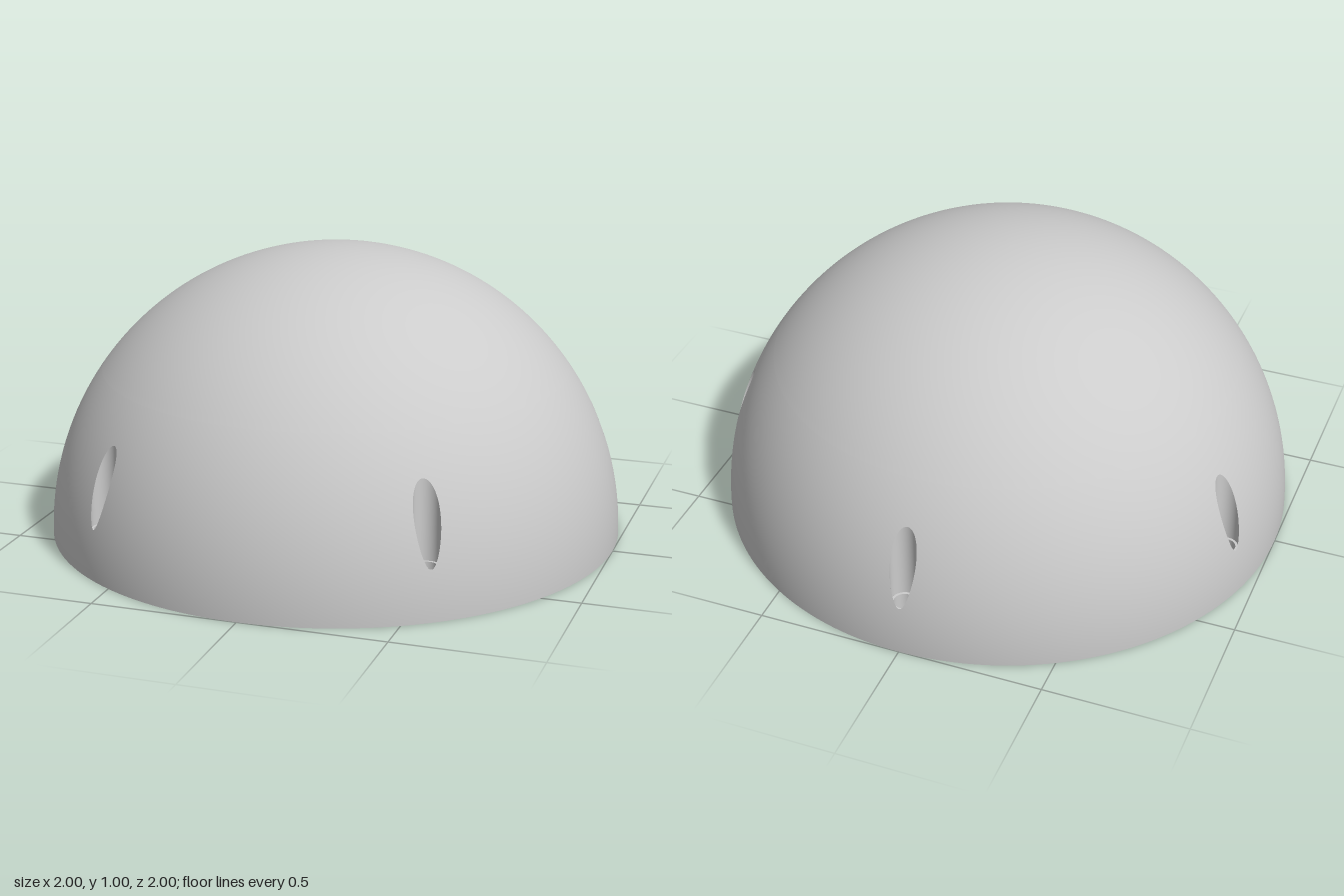
import * as THREE from 'three';
import { ParametricGeometry } from 'three/addons/geometries/ParametricGeometry.js';

const TAU = Math.PI * 2;
const HOLES = 5, SECTOR = TAU / HOLES;
const INNER_R = 0.88;                 // cavity radius (outer radius is 1)
const LIP_R = 0.94, STEP_Y = 0.062;   // rebate in the underside
const BOLT_R = 0.036, BORE_R = 0.045; // bolt hole and its counterbore
const FLOOR_Y = 0.17;                 // counterbore floor
const BAND_LAT = 0.62;                // latitude where the pierced band ends
const SEGS = 200;

const polar = (r, a) => new THREE.Vector2(r * Math.sin(a), r * Math.cos(a));

// Point of a hole's circle, in the frame where the hole lies towards +z
const holePoint = (r, a) => new THREE.Vector2(r * Math.sin(a), LIP_R + r * Math.cos(a));

// Arc of a sphere profile between two latitudes
function arc(r, from, to, n) {
  return Array.from({ length: n + 1 }, (_, i) => {
    const lat = from + (to - from) * i / n;
    return new THREE.Vector2(Math.max(0, r * Math.cos(lat)), r * Math.sin(lat));
  });
}

// One fifth of the lower dome: rows run from the sector's edge to the hole's rim
function bandPatch() {
  const nx = 40, ny = 16, total = 2 * (nx + ny);
  const geo = new ParametricGeometry((u, v, out) => {
    const s = u * total;
    let px, py;
    if (s <= nx) [px, py] = [2 * s / nx - 1, -1];
    else if (s <= nx + ny) [px, py] = [1, 2 * (s - nx) / ny - 1];
    else if (s <= 2 * nx + ny) [px, py] = [1 - 2 * (s - nx - ny) / nx, 1];
    else [px, py] = [-1, 1 - 2 * (s - 2 * nx - ny) / ny];
    const rim = holePoint(BORE_R, Math.atan2(px, -py));
    const theta = THREE.MathUtils.lerp(px * SECTOR / 2, Math.atan2(rim.x, rim.y), v);
    const lat = THREE.MathUtils.lerp((py + 1) / 2 * BAND_LAT, Math.acos(rim.length()), v);
    out.set(Math.cos(lat) * Math.sin(theta), Math.sin(lat), Math.cos(lat) * Math.cos(theta));
  }, total, 16);
  // exact sphere normals
  const p = geo.attributes.position, n = geo.attributes.normal, q = new THREE.Vector3();
  for (let i = 0; i < p.count; i++) {
    q.fromBufferAttribute(p, i).normalize();
    n.setXYZ(i, q.x, q.y, q.z);
  }
  return geo;
}

// Upright wall over an arc, facing the arc's centre
function wall(point, a0, a1, bottom, top, n) {
  return new ParametricGeometry((u, v, out) => {
    const p = point(a1 + (a0 - a1) * u);
    out.set(p.x, bottom + (top(p) - bottom) * v, p.y);
  }, n, 1);
}

const LIP_GAP = 2 * Math.asin(BOLT_R / (2 * LIP_R));        // half angle a hole takes from the lip
const SPLIT = Math.acos(-BOLT_R / (2 * LIP_R));             // where a hole crosses the lip circle

// The lip circle with a bulge at each hole, outward (1) or inward (-1)
function notchedCircle(side) {
  const pts = [];
  for (let k = 0; k < HOLES; k++) {
    const c = Math.PI + k * SECTOR;
    for (let i = 0; i <= 20; i++) {
      const t = i / 20;
      const a = side > 0 ? -SPLIT + 2 * SPLIT * t : -SPLIT - 2 * (Math.PI - SPLIT) * t;
      const p = holePoint(BOLT_R, a);
      pts.push(polar(p.length(), c + Math.atan2(p.x, p.y)));
    }
    for (let i = 1; i < 40; i++)
      pts.push(polar(LIP_R, c + LIP_GAP + (SECTOR - 2 * LIP_GAP) * i / 40));
  }
  return pts;
}

// Flat ring facing down
function underside(outer, inner, y) {
  const shape = new THREE.Shape(outer);
  shape.holes.push(new THREE.Path(inner));
  return new THREE.ShapeGeometry(shape).rotateX(Math.PI / 2).translate(0, y, 0);
}
const circle = r => Array.from({ length: SEGS }, (_, i) => polar(r, i / SEGS * TAU));

export function createModel() {
  const model = new THREE.Group();
  model.name = 'dome';
  const material = new THREE.MeshStandardMaterial({ color: 0xcccccc, side: THREE.DoubleSide });
  const add = (parent, name, geo) => {
    const mesh = new THREE.Mesh(geo, material);
    mesh.name = name;
    parent.add(mesh);
  };

  // Outer cap and inner cavity
  add(model, 'outerCap', new THREE.LatheGeometry(arc(1, BAND_LAT, Math.PI / 2, 32), SEGS));
  const innerLat = Math.asin(STEP_Y / INNER_R);
  add(model, 'innerDome', new THREE.LatheGeometry(arc(INNER_R, Math.PI / 2, innerLat, 48), SEGS));

  // Stepped underside
  add(model, 'bottomRim', underside(circle(1), notchedCircle(1), 0));
  add(model, 'rebateLedge', underside(notchedCircle(-1), circle(INNER_R * Math.cos(innerLat)), STEP_Y));

  // Repeating sector: pierced outer band, counterbored hole and rebate wall
  const toSphere = p => Math.sqrt(1 - p.lengthSq());
  const bolt = a => holePoint(BOLT_R, a);
  const parts = {
    outerBand: bandPatch(),
    counterboreWall: wall(a => holePoint(BORE_R, a), 0, TAU, FLOOR_Y, toSphere, 96),
    counterboreFloor: new THREE.RingGeometry(BOLT_R, BORE_R, 64).rotateX(-Math.PI / 2)
      .translate(0, FLOOR_Y, LIP_R),
    boltHoleOuter: wall(bolt, -SPLIT, SPLIT, 0, () => FLOOR_Y, 32),
    boltHoleInner: wall(bolt, SPLIT, TAU - SPLIT, STEP_Y, () => FLOOR_Y, 32),
    rebateWall: wall(a => polar(LIP_R, a), LIP_GAP, SECTOR - LIP_GAP, 0, () => STEP_Y, 40),
  };
  for (let k = 0; k < HOLES; k++) {
    const sector = new THREE.Group();
    sector.name = `sector${k + 1}`;
    sector.rotation.y = Math.PI + k * SECTOR;
    for (const [name, geo] of Object.entries(parts)) add(sector, name, geo);
    model.add(sector);
  }
  return model;
}
